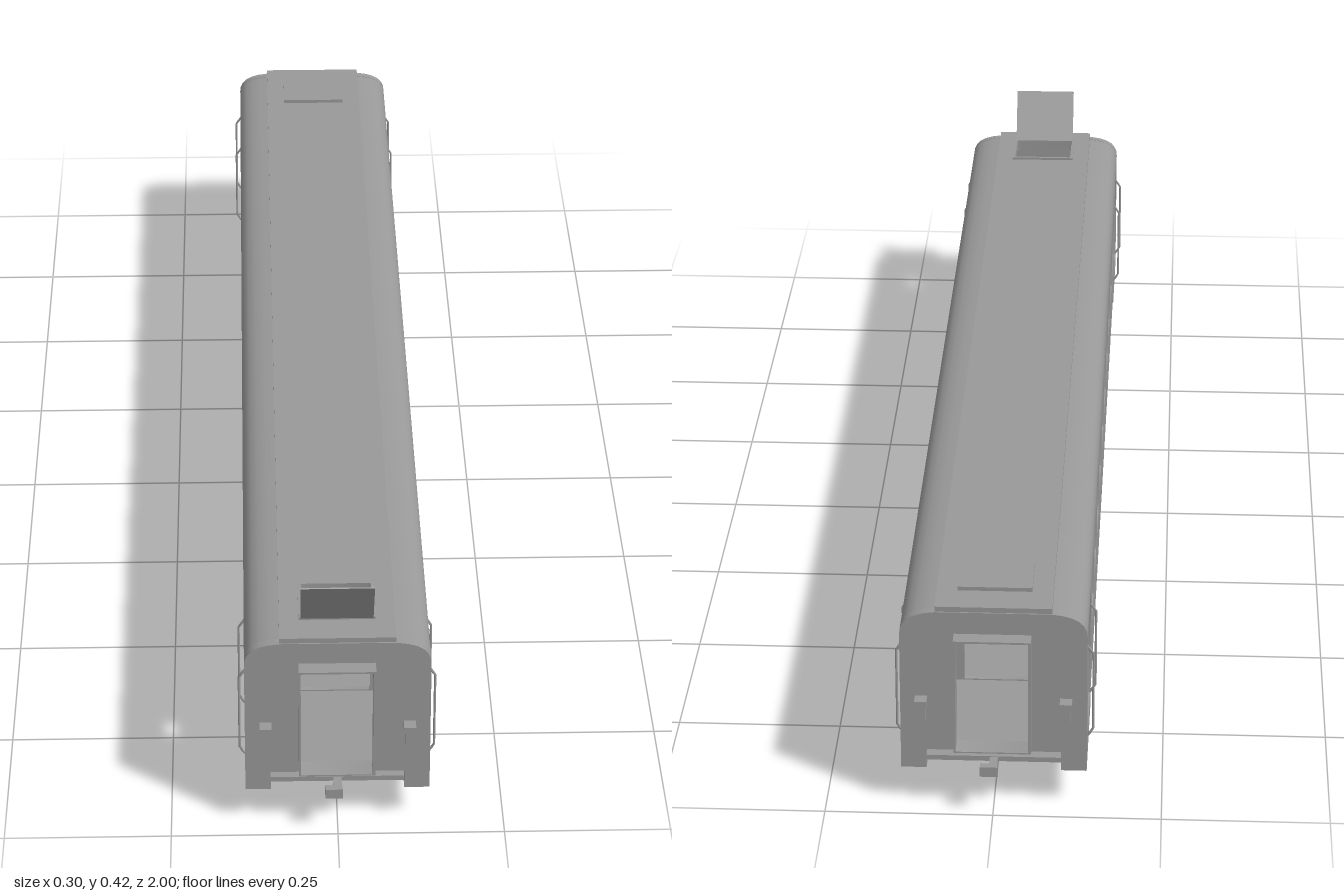
import * as THREE from 'three';
import { toCreasedNormals } from 'three/addons/utils/BufferGeometryUtils.js';

const mat = new THREE.MeshStandardMaterial({ color: 0x999999, side: THREE.DoubleSide });
const HALF = 0.138, END = 0.964, EAVE = 0.285;

function add(parent, name, geo, x = 0, y = 0, z = 0) {
  const m = new THREE.Mesh(geo, mat);
  m.name = name;
  m.position.set(x, y, z);
  parent.add(m);
  return m;
}
const box = (p, name, w, h, d, x, y, z) => add(p, name, new THREE.BoxGeometry(w, h, d), x, y, z);

// box given by its limits
const span = (p, name, x0, x1, y0, y1, z0, z1) =>
  box(p, name, x1 - x0, y1 - y0, z1 - z0, (x0 + x1) / 2, (y0 + y1) / 2, (z0 + z1) / 2);

const extrude = (shape, depth) =>
  toCreasedNormals(new THREE.ExtrudeGeometry(shape, { depth, bevelEnabled: false, curveSegments: 6 }), 0.6);

// rounded rectangular opening
function opening(x0, x1, y0, y1, r) {
  const path = new THREE.Path();
  path.moveTo(x0 + r, y0).lineTo(x1 - r, y0);
  path.quadraticCurveTo(x1, y0, x1, y0 + r).lineTo(x1, y1 - r);
  path.quadraticCurveTo(x1, y1, x1 - r, y1).lineTo(x0 + r, y1);
  path.quadraticCurveTo(x0, y1, x0, y1 - r).lineTo(x0, y0 + r);
  path.quadraticCurveTo(x0, y0, x0 + r, y0);
  return path;
}
const plate = (x0, x1, y0, y1) => new THREE.Shape([
  new THREE.Vector2(x0, y0), new THREE.Vector2(x1, y0), new THREE.Vector2(x1, y1), new THREE.Vector2(x0, y1)]);

// upright panel drawn in (z, y), its outer face at x = side * face
function sidePanel(p, name, shape, side, face, depth) {
  const geo = extrude(shape, depth).rotateY(-Math.PI / 2);
  add(p, name, geo, side > 0 ? face : -face + depth);
}

function tube(p, name, pts, r) {
  const path = new THREE.CurvePath();
  const v = pts.map(a => new THREE.Vector3(...a));
  for (let i = 1; i < v.length; i++) path.add(new THREE.LineCurve3(v[i - 1], v[i]));
  add(p, name, new THREE.TubeGeometry(path, (v.length - 1) * 6, r, 6));
}

// end wall cross-section, notched below for the coupler
function endOutline() {
  const s = new THREE.Shape();
  s.moveTo(-HALF, 0.06).lineTo(-0.1, 0.06).lineTo(-0.1, 0.091).lineTo(0.1, 0.091);
  s.lineTo(0.1, 0.06).lineTo(HALF, 0.06).lineTo(HALF, EAVE);
  s.bezierCurveTo(HALF, 0.305, 0.125, 0.319, 0.086, 0.322).lineTo(-0.086, 0.322);
  s.bezierCurveTo(-0.125, 0.319, -HALF, 0.305, -HALF, EAVE).lineTo(-HALF, 0.06);
  return s;
}

function buildBody(g) {
  for (const side of [1, -1]) {
    // side wall with ten windows and two door openings
    const wall = plate(-END, END, 0.09, EAVE);
    for (let i = 0; i < 10; i++) {
      const z = 0.678 - i * 0.1507;
      wall.holes.push(opening(z - 0.053, z + 0.053, 0.173, 0.265, 0.006));
    }
    for (const e of [1, -1]) {
      const z = e * 0.859;
      wall.holes.push(opening(z - 0.06, z + 0.06, 0.092, 0.281, 0.004));
      // recessed double door
      const door = plate(z - 0.062, z + 0.062, 0.09, 0.283);
      for (const k of [-1, 1]) {
        const c = z + k * 0.029;
        door.holes.push(opening(c - 0.019, c + 0.019, 0.173, 0.265, 0.005));
      }
      sidePanel(g, 'door', door, side, 0.128, 0.005);
      box(g, 'doorSeam', 0.004, 0.185, 0.004, side * 0.128, 0.187, z);
      for (const k of [-1, 1]) {
        const h = z + k * 0.066;
        tube(g, 'handrail', [[side * 0.136, 0.095, h], [side * 0.146, 0.108, h],
          [side * 0.146, 0.237, h], [side * 0.136, 0.25, h]], 0.002);
      }
    }
    sidePanel(g, 'sideWall', wall, side, HALF, 0.015);

    // curved roof edge
    const r = new THREE.Shape();
    r.moveTo(side * HALF, EAVE);
    r.bezierCurveTo(side * HALF, 0.305, side * 0.125, 0.319, side * 0.08, 0.322);
    r.lineTo(side * 0.08, 0.313);
    r.bezierCurveTo(side * 0.113, 0.309, side * 0.123, 0.3, side * 0.123, EAVE);
    r.lineTo(side * HALF, EAVE);
    add(g, 'roofEdge', extrude(r, 2 * END), 0, 0, -END);
  }

  // raised roof deck with an open hatch at the front
  const deck = plate(-0.086, 0.086, -END, END);
  deck.holes.push(opening(-0.052, 0.052, 0.825, 0.91, 0.002));
  add(g, 'roofDeck', extrude(deck, 0.016).rotateX(Math.PI / 2), 0, 0.33, 0);
  const lid = box(g, 'openHatchLid', 0.108, 0.098, 0.002, 0, 0.373, 0.937);
  lid.rotation.x = 0.514;
  const rim = plate(-0.057, 0.057, 0.82, 0.915);
  rim.holes.push(opening(-0.052, 0.052, 0.825, 0.91, 0.002));
  add(g, 'hatchRim', extrude(rim, 0.006).rotateX(Math.PI / 2), 0, 0.334, 0);
  span(g, 'closedHatchLid', -0.055, 0.055, 0.328, 0.336, -0.912, -0.82);

  // floor with rounded sills along the middle
  const sill = new THREE.Shape();
  sill.moveTo(-HALF, 0.098).lineTo(-HALF, 0.085).quadraticCurveTo(-HALF, 0.062, -0.115, 0.062);
  sill.lineTo(0.115, 0.062).quadraticCurveTo(HALF, 0.062, HALF, 0.085).lineTo(HALF, 0.098);
  add(g, 'floor', extrude(sill, 1.53), 0, 0, -0.765);

  // loose window bars
  tube(g, 'windowBar', [[-0.13, 0.177, 0.27], [-0.13, 0.26, 0.232], [-0.13, 0.18, 0.178]], 0.001);
  tube(g, 'windowBar', [[-0.13, 0.195, 0.58], [-0.13, 0.23, 0.56]], 0.001);
}

// end wall, gangway, lamps and coupler; drawn for the front and turned for the back
function buildEnd(g) {
  const wall = endOutline();
  wall.holes.push(opening(-0.055, 0.055, 0.1, 0.284, 0.001));
  add(g, 'endWall', extrude(wall, 0.014), 0, 0, END - 0.012);
  const frame = plate(-0.058, 0.056, 0.1, 0.287);
  frame.holes.push(opening(-0.055, 0.052, 0.102, 0.284, 0.001));
  add(g, 'gangwayFrame', extrude(frame, 0.026), 0, 0, END);

  // vestibule floor, open beneath at the coupler
  span(g, 'vestibuleFloor', -HALF, HALF, 0.09, 0.098, 0.76, END);
  span(g, 'vestibuleBase', -HALF, HALF, 0.06, 0.092, 0.765, 0.925);
  for (const s of [1, -1])
    box(g, 'cornerSill', 0.038, 0.032, 0.04, s * 0.119, 0.076, 0.944);

  // vestibule partition with a doorway
  const part = plate(-0.122, 0.122, 0.097, 0.3);
  part.holes.push(opening(-0.055, 0.055, 0.1, 0.286, 0.001));
  add(g, 'partition', extrude(part, 0.008), 0, 0, 0.76);

  for (const s of [1, -1]) {
    box(g, 'lampBody', 0.014, 0.034, 0.016, s * 0.107, 0.157, END + 0.009);
    box(g, 'lampHead', 0.018, 0.01, 0.02, s * 0.107, 0.177, END + 0.011);
  }
  span(g, 'bufferBeam', -0.1, 0.1, 0.072, 0.08, 0.945, END);
  box(g, 'couplerBar', 0.012, 0.01, 0.07, 0, 0.074, 0.96);
  box(g, 'couplerHead', 0.026, 0.016, 0.012, -0.006, 0.074, 0.994);
}

function buildBogie(g) {
  // origin midway between the axles
  span(g, 'bogiePlate', -0.082, 0.082, 0.034, 0.044, -0.17, 0.195);
  span(g, 'bolster', -0.06, 0.06, 0.04, 0.064, -0.04, 0.04);
  for (const z of [-0.17, 0.18]) span(g, 'endBeam', -0.088, 0.088, 0.042, 0.06, z, z + 0.015);
  for (const s of [1, -1]) {
    // side frame dipping below each axle
    const f = new THREE.Shape();
    const pts = [[-0.17, 0.06], [-0.16, 0.03], [-0.13, 0.012], [-0.105, 0.006], [-0.08, 0.012], [-0.055, 0.026],
      [0.055, 0.026], [0.08, 0.012], [0.105, 0.006], [0.13, 0.012], [0.16, 0.03], [0.195, 0.04], [0.195, 0.06]];
    f.setFromPoints(pts.map(p => new THREE.Vector2(...p)));
    sidePanel(g, 'sideFrame', f, s, 0.086, 0.008);
    for (const a of [-0.105, 0.105]) {
      const wheel = new THREE.CylinderGeometry(0.03, 0.03, 0.01, 24).rotateZ(Math.PI / 2);
      add(g, 'wheel', wheel, s * 0.075, 0.03, a);
      for (const [k, r] of [[0, 0.01], [-0.052, 0.007], [0.052, 0.007]]) {
        const cap = new THREE.CylinderGeometry(r, r, 0.008, 12).rotateZ(Math.PI / 2);
        add(g, 'axleBox', cap, s * 0.088, 0.03, a + k);
      }
      for (const k of [-0.03, 0.03])
        add(g, 'spring', new THREE.CylinderGeometry(0.008, 0.008, 0.026, 10), s * 0.084, 0.042, a + k);
    }
  }
  for (const a of [-0.105, 0.105])
    add(g, 'axle', new THREE.CylinderGeometry(0.007, 0.007, 0.15, 10).rotateZ(Math.PI / 2), 0, 0.03, a);
}

function buildUnderside(g) {
  for (const [x, z] of [[-0.032, 0.286], [-0.032, 0.107], [0.032, -0.107], [-0.035, -0.285]]) {
    add(g, 'airTank', new THREE.CylinderGeometry(0.028, 0.028, 0.11, 20).rotateX(Math.PI / 2), x, 0.037, z);
    for (const k of [-0.03, 0.03]) box(g, 'tankStrap', 0.06, 0.034, 0.006, x, 0.05, z + k);
  }
  tube(g, 'pipe', [[-0.032, 0.04, 0.24], [-0.032, 0.04, 0.16]], 0.0025);
  tube(g, 'pipe', [[0.032, 0.04, -0.02], [0.032, 0.04, -0.16], [0.01, 0.05, -0.24], [0.01, 0.064, -0.27]], 0.0025);
  // equipment box with a raised middle
  for (const s of [1, -1]) box(g, 'equipmentBox', 0.04, 0.056, 0.09, s * 0.046, 0.034, 0.482);
  box(g, 'equipmentBridge', 0.06, 0.045, 0.08, 0, 0.04, 0.482);
  span(g, 'rearBracket', -0.07, 0.07, 0.04, 0.064, -0.47, -0.4);
}

export function createModel() {
  const model = new THREE.Group();
  model.name = 'railCarriage';
  const group = (name, build) => {
    const g = new THREE.Group();
    g.name = name;
    build(g);
    model.add(g);
    return g;
  };
  group('body', buildBody);
  group('frontEnd', buildEnd);
  group('backEnd', buildEnd).rotation.y = Math.PI;
  group('frontBogie', buildBogie).position.z = 0.705;
  group('backBogie', buildBogie).position.z = -0.63;
  group('underside', buildUnderside);
  return model;
}
